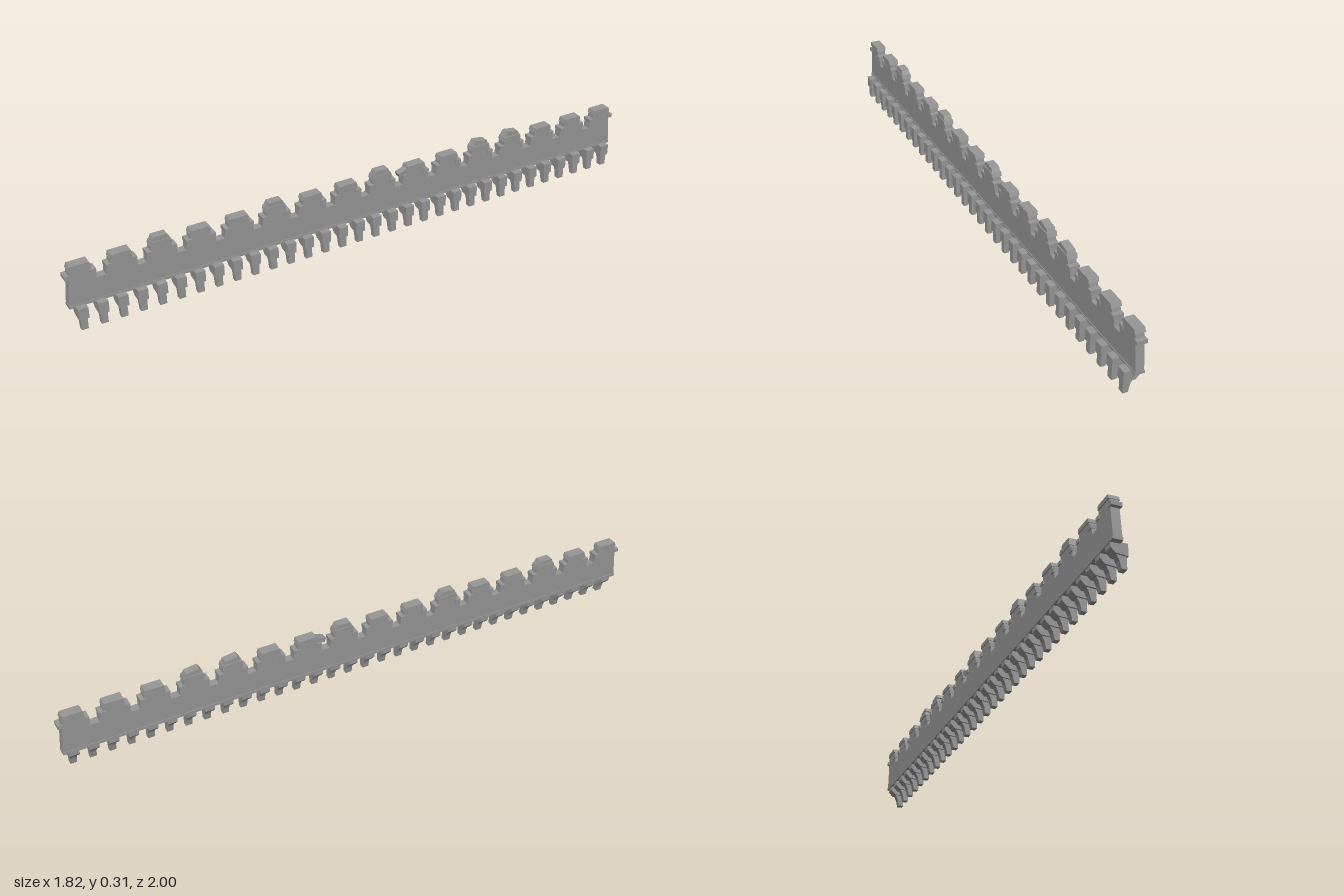
import * as THREE from 'three';

const stone = new THREE.MeshStandardMaterial({ color: 0x969696 });
stone.name = 'grey stone';

function add(parent, name, geometry, x = 0, y = 0, z = 0, tilt = 0) {
  const mesh = new THREE.Mesh(geometry, stone);
  mesh.name = name;
  mesh.position.set(x, y, z);
  mesh.rotation.z = tilt;
  parent.add(mesh);
  return mesh;
}

// Extrudes an outline, centred on its thickness
function slab(points, depth) {
  const shape = new THREE.Shape(points.map(([x, y]) => new THREE.Vector2(x, y)));
  const geometry = new THREE.ExtrudeGeometry(shape, { depth, bevelEnabled: false });
  return geometry.translate(0, 0, -depth / 2);
}

export function createModel() {
  const model = new THREE.Group();
  model.name = 'battlement';
  const wall = new THREE.Group();
  wall.name = 'diagonalWall';
  wall.rotation.y = 0.833;
  model.add(wall);

  const merlons = 16, pitch = 0.1687;
  const merlonX = (i) => (i - (merlons - 1) / 2) * pitch;

  // Parapet with narrow slots between the merlons and slightly leaning ends
  const outline = [[-1.325, 0.1], [1.325, 0.1], [1.312, 0.24]];
  for (let i = merlons - 1; i >= 0; i--) {
    const x = merlonX(i);
    if (i < merlons - 1) outline.push([x + 0.065, 0.2], [x + 0.062, 0.24]);
    outline.push([x + 0.046, 0.245], [x + 0.043, 0.272], [x - 0.043, 0.272], [x - 0.046, 0.245]);
    if (i > 0) outline.push([x - 0.062, 0.24], [x - 0.065, 0.2]);
  }
  outline.push([-1.312, 0.24]);
  add(wall, 'parapet', slab(outline, 0.036));

  // Cap stones, shoulder stones and a few loose stones on top
  const cap = slab([[-0.046, 0], [0.046, 0], [0.04, 0.018], [-0.04, 0.018]], 0.044);
  const shoulder = new THREE.BoxGeometry(0.026, 0.016, 0.044);
  const loose = slab([[-0.04, 0], [0.04, 0], [0.028, 0.022], [-0.03, 0.022]], 0.036);
  const looseTilt = { 2: 0, 5: 0, 8: 0, 11: -0.15, 12: -0.15 };
  for (let i = 0; i < merlons; i++) {
    const x = merlonX(i);
    add(wall, 'merlonCap', cap, x, 0.264);
    for (const side of [-1, 1]) add(wall, 'shoulderStone', shoulder, x + side * 0.051, 0.236);
    if (i in looseTilt) add(wall, 'looseStone', loose, x, 0.28, 0, looseTilt[i]);
  }
  add(wall, 'fallenStone', new THREE.BoxGeometry(0.07, 0.02, 0.03), merlonX(9) - 0.05, 0.258, 0, 0.35);

  // Ledge along the foot of the parapet
  add(wall, 'ledge', new THREE.BoxGeometry(2.65, 0.012, 0.042), 0, 0.1, 0);

  // Corbels: a head block under the wall, and a tapering leg on the outer side
  const head = slab([[-0.018, 0.1], [-0.018, 0.075], [0.0, 0.055], [0.05, 0.05], [0.05, 0.1]], 0.042);
  const leg = slab([[0.004, 0.06], [0.018, 0.03], [0.024, 0], [0.046, 0], [0.046, 0.06]], 0.028);
  for (const g of [head, leg]) g.rotateY(-Math.PI / 2);
  const corbels = 32;
  for (let i = 0; i < corbels; i++) {
    const x = -1.28 + (2.56 * i) / (corbels - 1);
    add(wall, 'corbelHead', head, x);
    add(wall, 'corbelLeg', leg, x);
  }
  return model;
}
